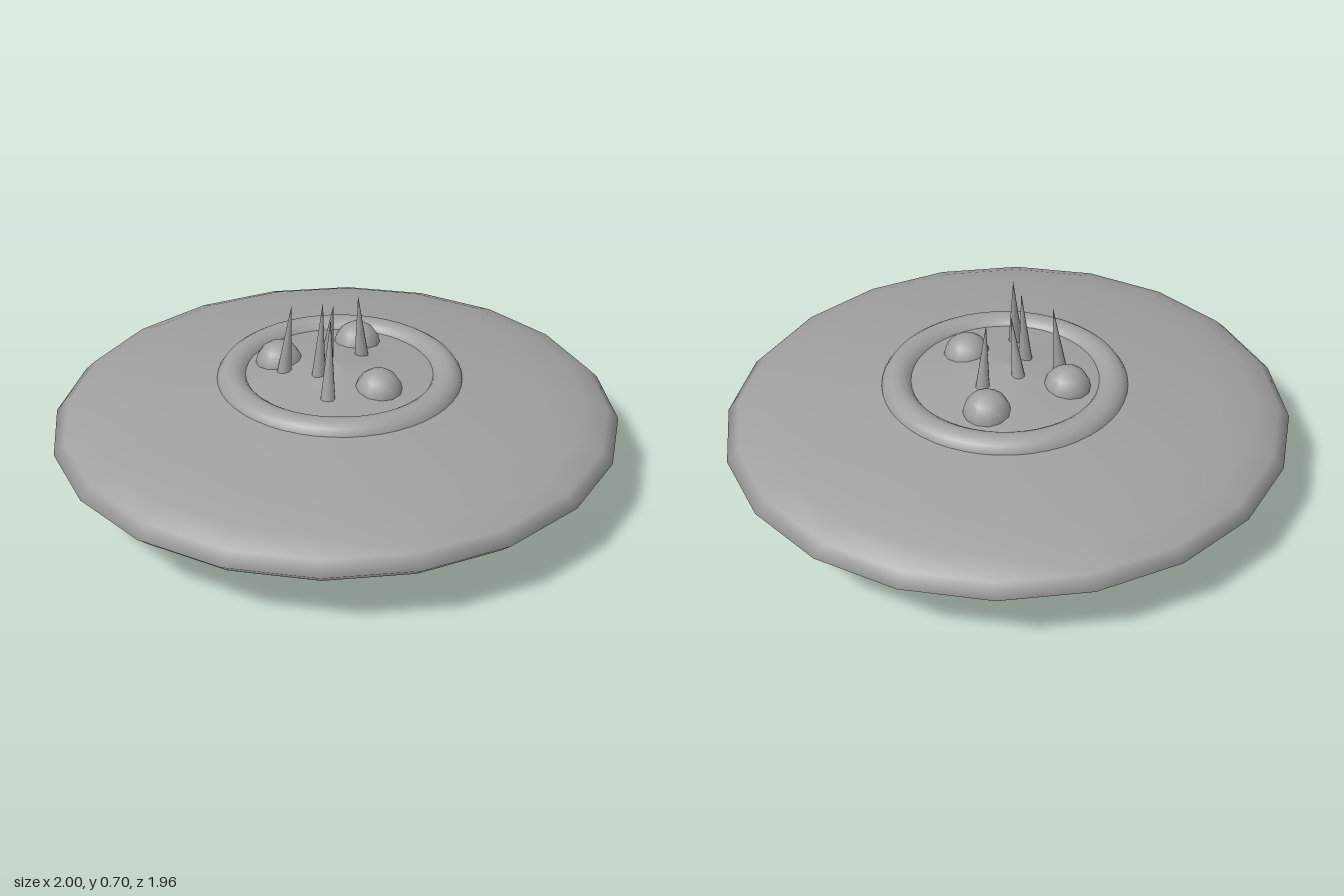
import * as THREE from 'three';

export function createModel() {
  const model = new THREE.Group();
  const grey = new THREE.MeshStandardMaterial({ color: 0xa0a0a0 });
  grey.name = 'hullGrey';

  function add(name, geometry, x = 0, y = 0, z = 0) {
    const mesh = new THREE.Mesh(geometry, grey);
    mesh.name = name;
    mesh.position.set(x, y, z);
    model.add(mesh);
    return mesh;
  }

  // Lens-shaped saucer, turned from a rim-heavy profile
  const profile = [
    [0, 0], [0.22, 0.043], [0.5, 0.086], [0.72, 0.122], [0.87, 0.155], [0.955, 0.195],
    [1, 0.235],
    [0.96, 0.275], [0.88, 0.31], [0.74, 0.343], [0.5, 0.378], [0.32, 0.4], [0.15, 0.422], [0, 0.445],
  ].map(([r, y]) => new THREE.Vector2(r, y));
  add('saucerHull', new THREE.LatheGeometry(profile, 20)).scale.z = 0.98;

  // Raised ring around the top deck
  const ring = new THREE.TorusGeometry(0.375, 0.057, 16, 48);
  ring.rotateX(Math.PI / 2);
  add('deckRing', ring, 0.018, 0.369, -0.007);

  // Three half-sunk domes
  const dome = new THREE.SphereGeometry(0.083, 12, 8);
  [[-0.123, -0.18], [0.187, -0.147], [0.05, 0.185]].forEach(([x, z]) => add('dome', dome, x, 0.4, z));

  // Leaning antenna spikes: base x, z, then tip x, y, z
  const up = new THREE.Vector3(0, 1, 0);
  const spikes = [
    [-0.155, -0.095, -0.13, 0.67, -0.08],
    [-0.085, 0.015, -0.065, 0.7, 0.015],
    [0.13, -0.035, 0.11, 0.66, -0.03],
    [0, -0.065, 0.005, 0.655, -0.025],
    [-0.135, 0.15, -0.1, 0.688, 0.115],
  ];
  for (const [bx, bz, tx, ty, tz] of spikes) {
    const base = new THREE.Vector3(bx, 0.41, bz);
    const axis = new THREE.Vector3(tx, ty, tz).sub(base);
    const cone = new THREE.ConeGeometry(0.026, axis.length(), 10);
    cone.translate(0, axis.length() / 2, 0);
    add('antennaSpike', cone, bx, 0.41, bz).quaternion.setFromUnitVectors(up, axis.normalize());
  }

  return model;
}
